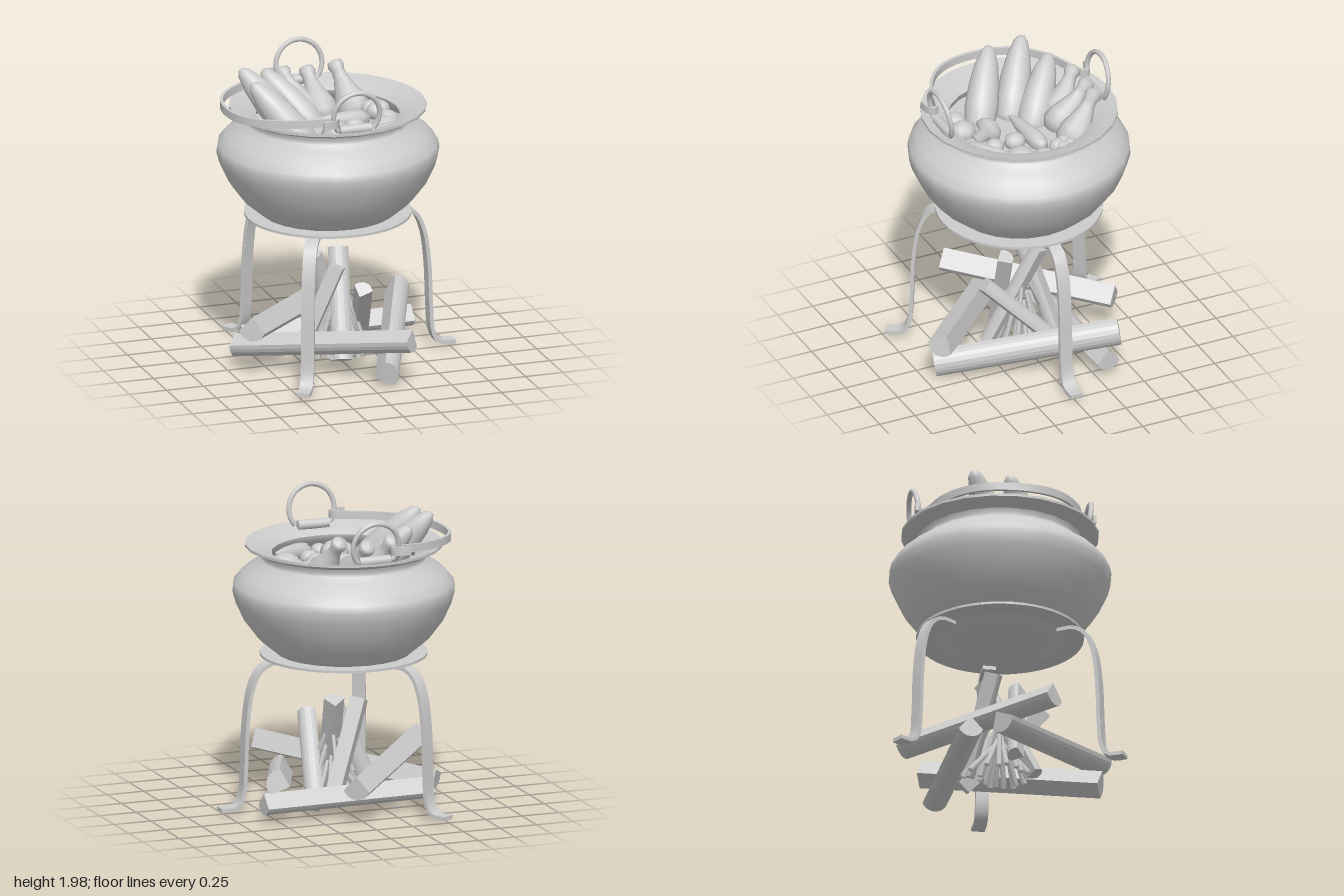
import * as THREE from 'three';

const V = (p) => new THREE.Vector3(...p);
const CX = -0.07, CZ = -0.01; // axis of the pot and stand

export function createModel() {
  const group = new THREE.Group();
  const mat = new THREE.MeshStandardMaterial({ color: 0xcccccc, side: THREE.DoubleSide });

  const add = (name, geo, pos = [0, 0, 0]) => {
    const m = new THREE.Mesh(geo, mat);
    m.name = name;
    m.position.set(...pos);
    group.add(m);
    return m;
  };
  const lathe = (pts, seg) => new THREE.LatheGeometry(pts.map((p) => new THREE.Vector2(...p)), seg);

  // Turned shape running from a to b; profile is [radius, fraction of length]
  const turned = (name, a, b, profile, seg = 12) => {
    const d = V(b).sub(V(a)), len = d.length();
    const m = add(name, lathe(profile.map(([r, t]) => [r, t * len]), seg), a);
    m.quaternion.setFromUnitVectors(new THREE.Vector3(0, 1, 0), d.normalize());
  };

  // Flat bar swept along a curve; its broad side follows the axis vector
  const strip = (points, axis, width, thick, steps) => {
    const curve = new THREE.CatmullRomCurve3(points.map(V));
    const pos = [], idx = [], rings = [], w = V(axis);
    for (let i = 0; i <= steps; i++) {
      const c = curve.getPointAt(i / steps);
      const n = curve.getTangentAt(i / steps).cross(w).normalize();
      rings.push([[1, 1], [-1, 1], [-1, -1], [1, -1]].map(([s, t]) =>
        c.clone().addScaledVector(w, s * width / 2).addScaledVector(n, t * thick / 2)));
    }
    for (let s = 0; s < 4; s++) { // each side keeps its own vertices for crisp edges
      const k = pos.length / 3;
      rings.forEach((r) => [r[s], r[(s + 1) % 4]].forEach((p) => pos.push(p.x, p.y, p.z)));
      for (let i = 0; i < steps; i++) {
        const a = k + i * 2;
        idx.push(a, a + 1, a + 3, a, a + 3, a + 2);
      }
    }
    for (const cap of [[...rings[0]].reverse(), rings[steps]]) {
      const k = pos.length / 3;
      cap.forEach((p) => pos.push(p.x, p.y, p.z));
      idx.push(k, k + 1, k + 2, k, k + 2, k + 3);
    }
    const g = new THREE.BufferGeometry();
    g.setAttribute('position', new THREE.Float32BufferAttribute(pos, 3));
    g.setIndex(idx);
    g.computeVertexNormals();
    return g;
  };

  // Pot: body and flared rim, then the inside wall and broth
  add('potBody', lathe([[0, 0.91], [0.2, 0.935], [0.38, 0.99], [0.43, 1.02], [0.55, 1.12], [0.64, 1.24],
    [0.695, 1.36], [0.713, 1.43], [0.705, 1.48], [0.655, 1.54], [0.575, 1.595], [0.53, 1.63], [0.522, 1.65],
    [0.535, 1.68]], 24), [CX, 0, CZ]);
  add('potRim', lathe([[0.535, 1.68], [0.59, 1.697], [0.632, 1.718]], 24), [CX, 0, CZ]);
  add('potLip', lathe([[0.632, 1.718], [0.632, 1.735]], 24), [CX, 0, CZ]);
  add('rimTop', lathe([[0.632, 1.735], [0.56, 1.715], [0.5, 1.695], [0.46, 1.67]], 24), [CX, 0, CZ]);
  add('potInside', lathe([[0.46, 1.67], [0.47, 1.63], [0.53, 1.58], [0.56, 1.55]], 24), [CX, 0, CZ]);
  add('broth', new THREE.CircleGeometry(0.56, 24).rotateX(-Math.PI / 2), [CX, 1.565, CZ]);

  // Stand: flat ring and three curved legs
  const ring = new THREE.Shape().absarc(0, 0, 0.535, 0, Math.PI * 2);
  ring.holes.push(new THREE.Path().absarc(0, 0, 0.4, 0, Math.PI * 2, true));
  add('standRing', new THREE.ExtrudeGeometry(ring, { depth: 0.016, bevelEnabled: false, curveSegments: 24 })
    .rotateX(-Math.PI / 2), [CX, 1.003, CZ]);
  const leg = strip([[0.4, 0.985, 0], [0.51, 0.985, 0], [0.585, 0.94, 0], [0.64, 0.82, 0], [0.672, 0.6, 0],
    [0.685, 0.3, 0], [0.7, 0.13, 0], [0.735, 0.065, 0], [0.78, 0.052, 0], [0.85, 0.052, 0]], [0, 0, 1], 0.085, 0.025, 28);
  for (let i = 0; i < 3; i++) add('leg', leg, [CX, 0, CZ]).rotation.y = i * Math.PI * 2 / 3;

  // Open ring handles ending in hinge barrels, front and back
  const handle = new THREE.TorusGeometry(0.155, 0.017, 8, 32, Math.PI * 1.44).rotateZ(-Math.PI * 0.22);
  for (const s of [1, -1]) {
    add('ringHandle', handle, [CX, 1.83, CZ + s * 0.555]).rotation.x = s * 0.14;
    add('handleHinge', new THREE.CylinderGeometry(0.032, 0.032, 0.21, 10).rotateZ(Math.PI / 2), [CX, 1.73, CZ + s * 0.53]);
  }

  // Carrying bail folded down on the -x side, hooked at both ends
  const half = [[-0.3, 1.785, 0.575], [-0.22, 1.787, 0.565], [-0.19, 1.785, 0.53], [-0.24, 1.782, 0.5],
    [-0.46, 1.772, 0.435], [-0.65, 1.763, 0.3], [-0.74, 1.757, 0.13]];
  const bail = [...half, ...half.map(([x, y, z]) => [x, y, -z]).reverse()];
  add('bail', strip(bail.map(([x, y, z]) => [x, y, z + CZ]), [0, 1, 0], 0.052, 0.02, 64));

  // Split logs: a wedge with a rounded bark side
  const wedge = new THREE.Shape().moveTo(0, -0.088).lineTo(0.088, 0.01).quadraticCurveTo(0.06, 0.065, 0, 0.068)
    .quadraticCurveTo(-0.06, 0.065, -0.088, 0.01).lineTo(0, -0.088);
  const log = (name, a, b, size, roll) => {
    const geo = new THREE.ExtrudeGeometry(wedge, { depth: V(a).distanceTo(V(b)), bevelEnabled: false, curveSegments: 4 });
    geo.scale(size, size, 1);
    const m = add(name, geo, a);
    m.lookAt(V(b));
    m.rotateZ(roll);
  };
  log('outerLog', [0.25, 0.315, 0.7], [-0.67, 0.14, -0.1], 0.95, -2.7);
  log('outerLog', [0.55, 0.305, -0.42], [0.1, 0.11, 0.67], 1, -1.25);
  log('outerLog', [-0.67, 0.35, 0.24], [0.08, 0.255, -0.61], 1, Math.PI);
  log('outerLog', [0.6, 0.135, -0.32], [-0.56, 0.135, -0.28], 0.9, Math.PI);
  log('leaningLog', [0.06, 0.57, 0.3], [0.2, 0.06, -0.2], 0.7, 0.4);
  log('leaningLog', [-0.04, 0.67, 0.1], [-0.28, 0.1, 0.05], 0.7, 1.2);
  log('leaningLog', [-0.16, 0.71, -0.06], [0.08, 0.09, -0.2], 0.75, 2);
  log('leaningLog', [0.03, 0.73, -0.1], [-0.05, 0.08, 0.22], 0.75, 0);

  // Kindling leaning inward
  for (let i = 0; i < 18; i++) {
    const a = i * 2.4, r = 0.13 + 0.1 * ((i * 7) % 5) / 4, top = 0.28 + 0.2 * ((i * 3) % 7) / 6;
    const foot = [0.02 + Math.cos(a) * r, 0.065, Math.sin(a) * r];
    turned('kindling', foot, [0.01 + Math.cos(a) * 0.04, top, Math.sin(a) * 0.04],
      [[0, 0], [0.02, 0], [0.014, 1], [0, 1]], 5);
  }

  // Tall tapered roots leaning on the rim
  const root = [[0, 0], [0.06, 0.01], [0.098, 0.1], [0.108, 0.3], [0.098, 0.55], [0.075, 0.78], [0.045, 0.94], [0.02, 0.99], [0, 1]];
  turned('tallRoot', [-0.24, 1.5, -0.02], [-0.57, 1.94, -0.27], root);
  turned('tallRoot', [-0.25, 1.5, 0.19], [-0.575, 1.92, -0.04], root);
  turned('tallRoot', [-0.1, 1.5, -0.1], [-0.385, 1.88, -0.375], root);

  // Drumsticks with a knobbed bone end
  const drumstick = [[0, 0], [0.07, 0.04], [0.11, 0.17], [0.105, 0.34], [0.07, 0.55], [0.046, 0.72], [0.042, 0.82],
    [0.054, 0.9], [0.045, 0.97], [0, 1]];
  turned('drumstick', [-0.09, 1.52, -0.25], [-0.23, 1.85, -0.48], drumstick, 10);
  turned('drumstick', [-0.01, 1.52, -0.21], [-0.05, 1.83, -0.5], drumstick, 10);
  turned('drumstick', [0.21, 1.52, -0.21], [0.125, 1.865, -0.46], drumstick, 10);

  // Carrots
  const carrot = [[0, 0], [0.035, 0.02], [0.06, 0.15], [0.058, 0.35], [0.04, 0.7], [0.015, 0.95], [0, 1]];
  turned('carrot', [0.22, 1.59, -0.05], [-0.18, 1.63, 0.01], carrot, 10);
  turned('carrot', [0.0, 1.58, 0.42], [0.31, 1.64, 0.21], carrot, 10);

  // Round vegetables: x, z, radius, height
  for (const [x, z, r, y] of [[0.075, 0.09, 0.07, 1.59], [0.07, 0.23, 0.062, 1.585], [-0.19, 0.33, 0.084, 1.58],
    [-0.07, 0.42, 0.055, 1.58], [-0.37, 0.3, 0.075, 1.55], [0.27, 0.14, 0.11, 1.565], [0.33, 0, 0.075, 1.585]]) {
    add('roundVegetable', new THREE.SphereGeometry(r, 10, 8).scale(1, 0.85, 1), [x, y, z]);
  }

  // Mushroom with a domed cap, and a lobed pepper
  turned('mushroom', [-0.08, 1.56, 0.29], [-0.1, 1.64, 0.13],
    [[0, 0], [0.045, 0.02], [0.05, 0.4], [0.095, 0.45], [0.09, 0.7], [0.055, 0.93], [0, 1]]);
  for (let i = 0; i < 4; i++) {
    const a = i * Math.PI / 2 + 0.4;
    add('pepperLobe', new THREE.SphereGeometry(0.06, 10, 8),
      [0.3 + Math.cos(a) * 0.035, 1.61, -0.15 + Math.sin(a) * 0.04]);
  }
  return group;
}
